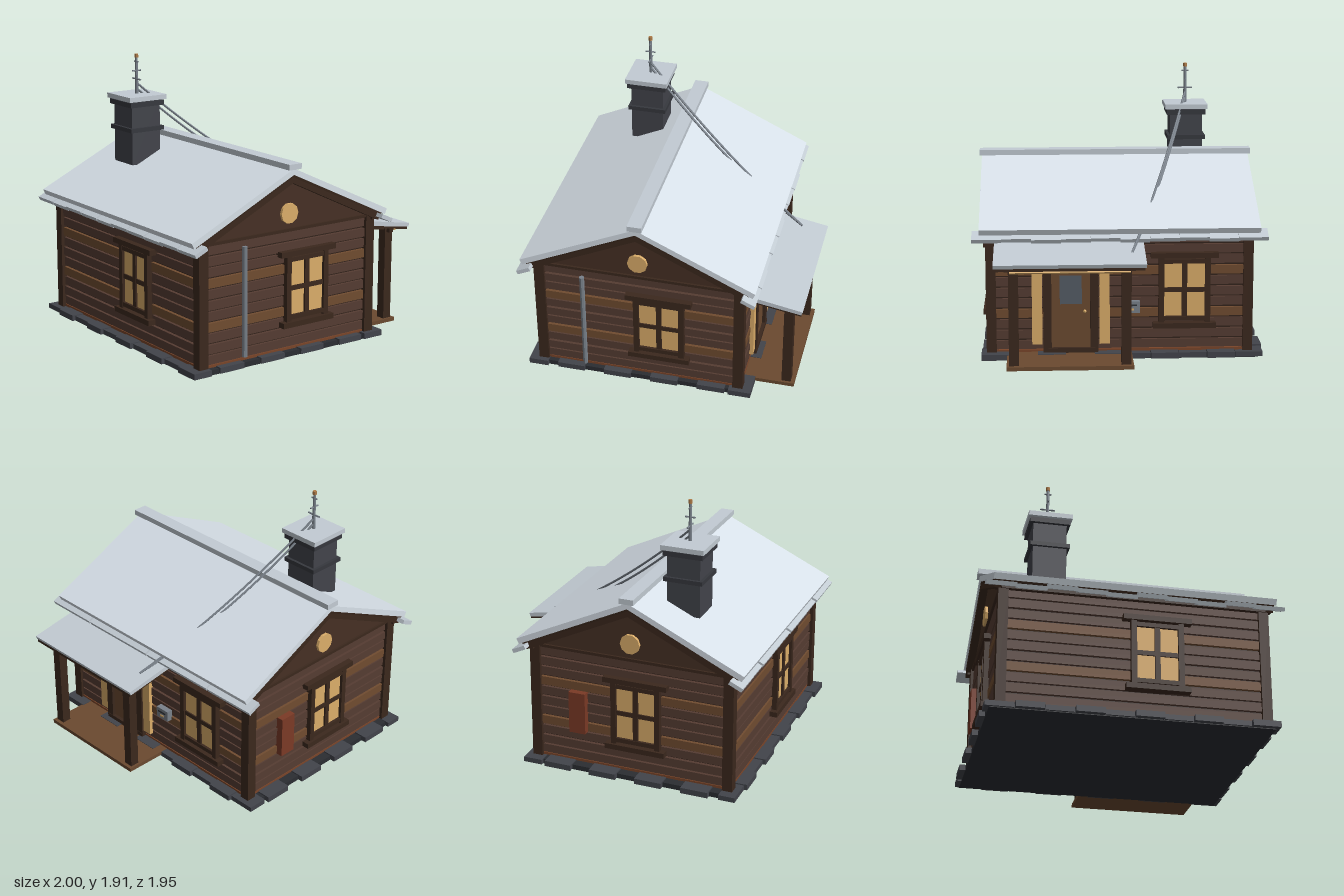
import * as THREE from 'three';

const mats = {};
const mat = (color) => (mats[color] ??= new THREE.MeshStandardMaterial({ color, flatShading: true }));
const DARK = 0x463024, TRIM = 0x3b281d, LOG = 0x553c32, WARM = 0x704c30, GLOW = 0xdcae6a;
const SNOW = 0xd8e1e9, ICE = 0xc3ccd4, STONE = 0x42444b, METAL = 0x79818a, PLANK = 0x6b4a30;

function add(parent, name, geometry, color, x = 0, y = 0, z = 0) {
  const mesh = new THREE.Mesh(geometry, mat(color));
  mesh.name = name;
  mesh.position.set(x, y, z);
  parent.add(mesh);
  return mesh;
}
// Box given by its limits on each axis
const block = (p, name, color, [x0, x1], [y0, y1], [z0, z1]) =>
  add(p, name, new THREE.BoxGeometry(x1 - x0, y1 - y0, z1 - z0), color, (x0 + x1) / 2, (y0 + y1) / 2, (z0 + z1) / 2);

function group(parent, name) {
  const g = new THREE.Group();
  g.name = name;
  parent.add(g);
  return g;
}

// Outline in (z, y), extruded along x
function prism(p, name, color, pts, x0, x1) {
  const shape = new THREE.Shape(pts.map(([z, y]) => new THREE.Vector2(-z, y)));
  const geo = new THREE.ExtrudeGeometry(shape, { depth: x1 - x0, bevelEnabled: false });
  geo.rotateY(Math.PI / 2);
  return add(p, name, geo, color, x0);
}

// Window facing local +z, centred on its pane
function windowUnit(parent, name, x, y, z, turn) {
  const g = group(parent, name);
  g.position.set(x, y, z);
  g.rotation.y = turn;
  block(g, 'windowPane', GLOW, [-0.14, 0.14], [-0.19, 0.19], [-0.03, 0.012]);
  for (const s of [-1, 1]) {
    add(g, 'windowJamb', new THREE.BoxGeometry(0.038, 0.46, 0.05), TRIM, s * 0.158, 0, 0.008);
    add(g, 'windowRail', new THREE.BoxGeometry(0.3, 0.03, 0.046), TRIM, 0, s * 0.2, 0.008);
  }
  block(g, 'mullion', TRIM, [-0.018, 0.018], [-0.19, 0.19], [0, 0.025]);
  block(g, 'glazingBar', TRIM, [-0.14, 0.14], [-0.016, 0.016], [0, 0.022]);
  block(g, 'lintel', TRIM, [-0.23, 0.23], [0.225, 0.262], [-0.02, 0.045]);
  block(g, 'sill', TRIM, [-0.215, 0.215], [-0.265, -0.228], [-0.02, 0.05]);
}

function foundation(root) {
  const g = group(root, 'foundation');
  block(g, 'base', 0x2b2d32, [-0.95, 0.92], [0, 0.035], [-0.63, 0.9]);
  for (let i = 0; i < 10; i++) {
    const x = -0.885 + i * 0.193, d = i % 2 ? 0.022 : 0;
    block(g, 'frontStone', STONE, [x - 0.094, x + 0.094], [0.005, 0.04 + d / 4], [0.8, 0.915 + d]);
    block(g, 'backStone', STONE, [x - 0.094, x + 0.094], [0.005, 0.04 + d / 4], [-0.635 - d, -0.5]);
  }
  for (let i = 0; i < 4; i++) {
    const z = -0.375 + i * 0.335;
    block(g, 'leftSideStone', STONE, [-0.99, -0.85], [0.005, 0.045], [z - 0.097, z + 0.097]);
    block(g, 'rightSideStone', STONE, [0.85, 0.94], [0.005, 0.045], [z - 0.097, z + 0.097]);
  }
}

function walls(root) {
  const g = group(root, 'walls');
  block(g, 'wallCore', 0x33231b, [-0.87, 0.87], [0.03, 0.87], [-0.56, 0.83]);
  block(g, 'sillStrip', 0x7a4529, [-0.89, 0.89], [0.04, 0.058], [-0.58, 0.85]);
  // Stacked logs on all four sides
  for (let i = 0; i < 11; i++) {
    const y = 0.062 + i * 0.074, color = i === 3 || i === 7 ? WARM : LOG;
    const out = i % 2 ? 0.004 : 0;
    block(g, 'wallLog', color, [-0.85, 0.85], [y, y + 0.06], [-0.577 - out, 0.85 + out]);
    block(g, 'gableSideLog', color, [-0.89 - out, 0.89 + out], [y, y + 0.06], [-0.54, 0.81]);
  }
  for (const x of [-0.877, 0.877]) for (const z of [-0.56, 0.837])
    add(g, 'cornerPost', new THREE.BoxGeometry(0.068, 0.84, 0.072), TRIM, x, 0.455, z);
  // Gable triangles, tie beams and round windows
  prism(g, 'gable', DARK, [[0.87, 0.86], [0.14, 1.24], [-0.59, 0.86]], -0.89, 0.89);
  for (const s of [-1, 1]) {
    add(g, 'tieBeam', new THREE.BoxGeometry(0.03, 0.02, 1.45), TRIM, s * 0.89, 0.875, 0.14);
    const w = add(g, 'roundWindow', new THREE.CylinderGeometry(0.07, 0.07, 0.03, 10), GLOW, s * 0.895, 0.99, 0.14);
    w.rotation.z = Math.PI / 2;
  }
  windowUnit(g, 'frontWindow', 0.145, 0.475, 0.855, 0);
  windowUnit(g, 'rightWindow', 0.893, 0.475, -0.005, Math.PI / 2);
  windowUnit(g, 'leftWindow', -0.893, 0.475, 0.18, -Math.PI / 2);
  windowUnit(g, 'backWindow', -0.44, 0.475, -0.583, Math.PI);
  block(g, 'wallPanel', 0x7b3a26, [-0.94, -0.88], [0.28, 0.58], [-0.3, -0.18]);
  const pipe = add(g, 'downpipe', new THREE.CylinderGeometry(0.018, 0.018, 0.75, 8), METAL, 0.93, 0.455, 0.525);
  pipe.material = mat(METAL);
}

function roof(root) {
  const g = group(root, 'roof');
  const slope = 0.47, angle = Math.atan(slope);
  for (const s of [-1, 1]) {
    const z = (d) => 0.14 + s * d;
    const band = (name, color, top, thick, reach, x0, x1) => {
      const pts = [[z(0), top], [z(reach), top - reach * slope], [z(reach - thick * 0.42), top - reach * slope - thick * 0.9], [z(0), top - thick]];
      prism(g, name, color, s > 0 ? pts.reverse() : pts, x0, x1);
    };
    band('roofSlab', SNOW, 1.3, 0.042, 0.815, -0.95, 0.95);
    band('roofBoards', 0x352419, 1.26, 0.02, 0.78, -0.94, 0.94);
    for (const x of [-0.915, 0.915]) band('rafter', TRIM, 1.255, 0.055, 0.77, x - 0.025, x + 0.025);
    // Overlapping eave strips
    for (let i = 0; i < 10; i++) {
      const x = -0.9 + i * 0.2, lift = [0, -0.006, 0.005][i % 3];
      const strip = add(g, 'eaveStrip', new THREE.BoxGeometry(0.2, 0.028, 0.1), ICE, x, 0.863 + lift, z(0.775 + lift));
      strip.rotation.x = s * angle;
    }
    block(g, 'eaveBeam', TRIM, [-0.93, 0.93], [0.85, 0.885], [z(0.72) - 0.02, z(0.72) + 0.02]);
  }
  block(g, 'ridgeCap', ICE, [-0.965, 0.965], [1.295, 1.333], [0.09, 0.19]);
  block(g, 'ridgeBeam', TRIM, [-0.935, 0.935], [1.2, 1.26], [0.12, 0.16]);
}

function chimney(root) {
  const g = group(root, 'chimney');
  g.position.set(-0.522, 0, 0.413);
  const tier = (name, color, w, y0, y1) => block(g, name, color, [-w, w], [y0, y1], [-w, w]);
  tier('chimneyStack', STONE, 0.117, 1.135, 1.6);
  tier('lowerCollar', 0x36383e, 0.137, 1.37, 1.4);
  tier('upperCollar', 0x36383e, 0.14, 1.55, 1.585);
  tier('chimneyCap', ICE, 0.153, 1.592, 1.626);
  // Antenna mast with crossed bars
  add(g, 'mast', new THREE.CylinderGeometry(0.009, 0.013, 0.28, 8), METAL, 0, 1.76, 0);
  [[1.73, 0.052, 0], [1.79, 0.036, 1], [1.855, 0.024, 0]].forEach(([y, h, turn]) => {
    const bar = add(g, 'antennaBar', new THREE.CylinderGeometry(0.006, 0.006, h * 2, 6), METAL, 0, y, 0);
    bar.rotation.set(turn ? Math.PI / 2 : 0, 0, turn ? 0 : Math.PI / 2);
  });
  add(g, 'mastTip', new THREE.CylinderGeometry(0.014, 0.014, 0.026, 8), 0xb07c48, 0, 1.897, 0);
  // Sagging stay cables running back over the roof
  for (const [y, sag] of [[1.7, 0.06], [1.66, 0.08]]) {
    const a = new THREE.Vector3(-0.522, y, 0.41), b = new THREE.Vector3(-0.07, 0.785, -0.81);
    const mid = a.clone().lerp(b, 0.5);
    mid.y -= sag * 2;
    const cable = new THREE.QuadraticBezierCurve3(a, mid, b);
    add(root, 'stayCable', new THREE.TubeGeometry(cable, 16, 0.008, 6), METAL);
  }
}

function porch(root) {
  const g = group(root, 'porch');
  block(g, 'porchFloor', PLANK, [-0.08, 0.77], [0.015, 0.042], [-0.93, -0.58]);
  for (const x of [-0.03, 0.72]) {
    block(g, 'porchPost', TRIM, [x - 0.033, x + 0.033], [0.03, 0.725], [-0.905, -0.84]);
    prism(g, 'porchRafter', TRIM, [[-0.57, 0.785], [-0.57, 0.745], [-0.93, 0.68], [-0.93, 0.715]].reverse(), x - 0.02, x + 0.02);
  }
  prism(g, 'porchRoof', ICE, [[-0.55, 0.825], [-0.55, 0.79], [-0.97, 0.722], [-0.98, 0.748]].reverse(), -0.16, 0.85);
  prism(g, 'porchRoofBoards', 0x3a281d, [[-0.55, 0.79], [-0.55, 0.772], [-0.97, 0.703], [-0.97, 0.722]].reverse(), -0.15, 0.84);
  block(g, 'porchBeam', TRIM, [-0.09, 0.78], [0.68, 0.715], [-0.89, -0.855]);
  const rod = add(g, 'glowRod', new THREE.CylinderGeometry(0.01, 0.01, 0.8, 6), GLOW, 0.345, 0.69, -0.94);
  rod.rotation.z = Math.PI / 2;
  // Door with glowing side lights
  block(g, 'doorPanel', PLANK, [0.2, 0.47], [0.05, 0.65], [-0.59, -0.56]);
  block(g, 'doorGlass', 0x555d66, [0.26, 0.41], [0.38, 0.58], [-0.594, -0.58]);
  for (const x of [0.175, 0.495]) block(g, 'doorJamb', TRIM, [x - 0.028, x + 0.028], [0.045, 0.7], [-0.612, -0.56]);
  block(g, 'doorHead', TRIM, [0.147, 0.523], [0.65, 0.7], [-0.612, -0.56]);
  for (const x of [0.105, 0.565]) block(g, 'sideLight', GLOW, [x - 0.035, x + 0.035], [0.1, 0.7], [-0.605, -0.56]);
  block(g, 'doorStep', TRIM, [0.15, 0.52], [0.04, 0.075], [-0.615, -0.57]);
  add(g, 'doorKnob', new THREE.SphereGeometry(0.012, 8, 6), GLOW, 0.24, 0.33, -0.6);
  // Letter box on the back wall
  block(g, 'letterBox', METAL, [-0.135, -0.025], [0.32, 0.4], [-0.62, -0.57]);
  block(g, 'letterSlot', 0x2f3338, [-0.115, -0.045], [0.368, 0.38], [-0.624, -0.61]);
  block(g, 'letterBoxBadge', GLOW, [-0.095, -0.065], [0.338, 0.352], [-0.624, -0.61]);
}

export function createModel() {
  const root = new THREE.Group();
  root.name = 'logCabin';
  foundation(root);
  walls(root);
  roof(root);
  chimney(root);
  porch(root);
  return root;
}
